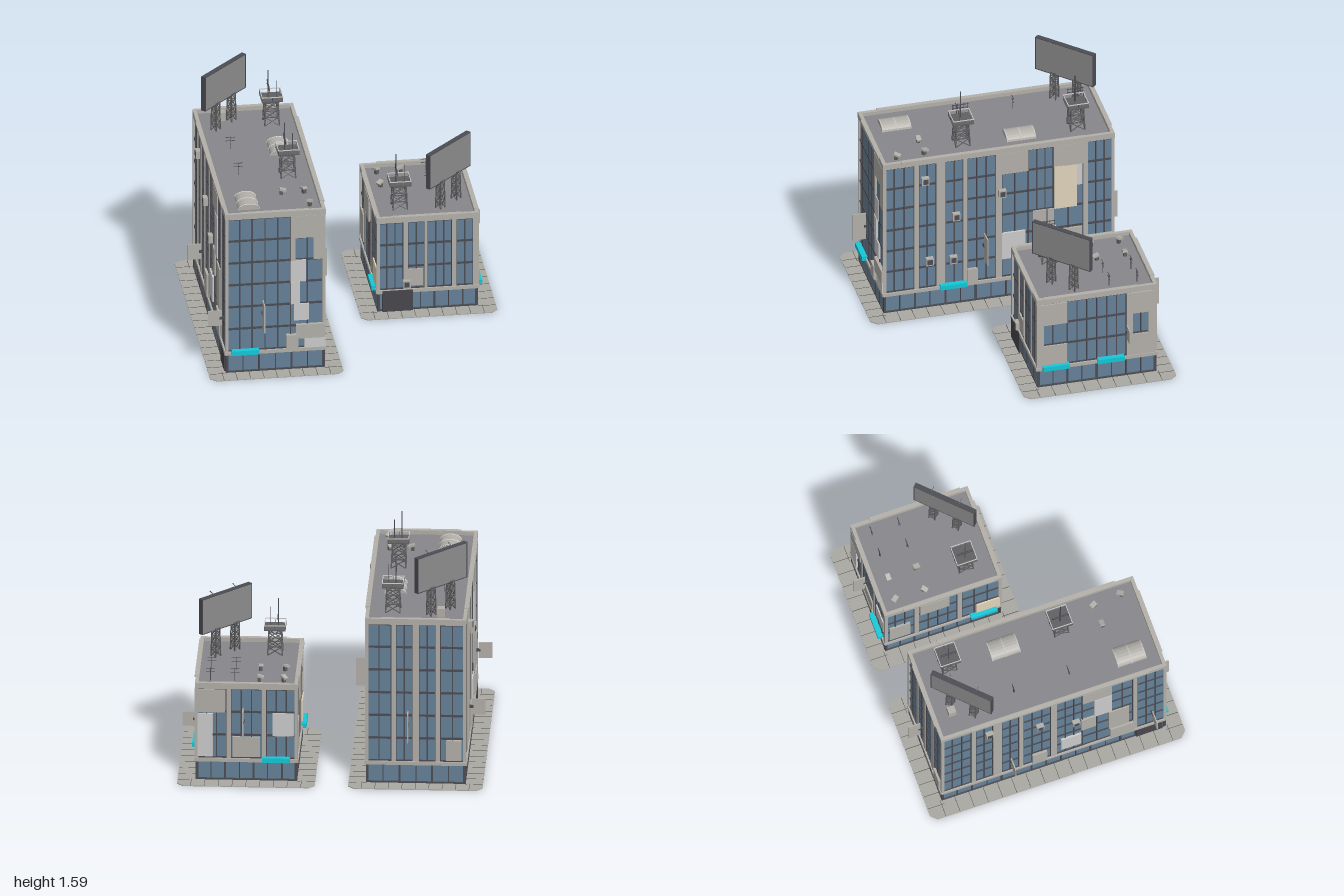
import * as THREE from 'three';

const mat = (color) => new THREE.MeshStandardMaterial({ color, flatShading: true, side: THREE.DoubleSide });
const M = {
  glass: mat(0x668299), frame: mat(0x4c4c54), stone: mat(0xb3b0aa), light: mat(0xcccccc), cream: mat(0xe0d4ba),
  roof: mat(0x86868b), pave: mat(0xa9a8a2), joint: mat(0x55554f), teal: mat(0x14c8d8), dark: mat(0x47474d),
  board: mat(0x8c8c8c), steel: mat(0x606062),
};
const UNIT = new THREE.BoxGeometry(1, 1, 1);

function group(parent, name, x = 0, y = 0, z = 0, ry = 0) {
  const g = new THREE.Group();
  g.name = name;
  g.position.set(x, y, z);
  g.rotation.y = ry;
  parent.add(g);
  return g;
}

// Box given by its centre and size
function box(parent, name, m, x, y, z, w, h, d) {
  const b = new THREE.Mesh(UNIT, M[m]);
  b.name = name;
  b.position.set(x, y, z);
  b.scale.set(w, h, d);
  parent.add(b);
  return b;
}

// Square bar between two points
function beam(parent, name, a, b, t, m = 'steel') {
  const p = new THREE.Vector3(...a), q = new THREE.Vector3(...b);
  const o = box(parent, name, m, 0, 0, 0, t, t, p.distanceTo(q));
  o.position.copy(p).add(q).multiplyScalar(0.5);
  o.quaternion.setFromUnitVectors(new THREE.Vector3(0, 0, 1), q.sub(p).normalize());
}

// Four-legged braced mast, half-widths r0 at the foot and r1 at the top
function lattice(parent, h, r0, r1, levels, t) {
  const at = (i, k) => {
    const f = i / levels, r = r0 + (r1 - r0) * f, c = [[1, 1], [-1, 1], [-1, -1], [1, -1]][k % 4];
    return [c[0] * r, h * f, c[1] * r];
  };
  for (let k = 0; k < 4; k++) {
    beam(parent, 'latticeLeg', at(0, k), at(levels, k), t * 1.3);
    for (let i = 0; i < levels; i++) {
      beam(parent, 'latticeBrace', at(i, k), at(i + 1, k + 1), t * 0.8);
      beam(parent, 'latticeBrace', at(i, k + 1), at(i + 1, k), t * 0.8);
      beam(parent, 'latticeRing', at(i + 1, k), at(i + 1, k + 1), t);
    }
  }
}

// Wall: u runs along the wall, +z is outwards. Bays: [u0, u1, glass columns (0 = pier)]
function facade(b, side, x, z, ry, width, H, bays, patches) {
  const g = group(b, side + 'Facade', x, 0, z, ry);
  const y0 = 0.16, h = H - y0, rows = Math.round(h / 0.16), cy = y0 + h / 2;
  for (const [u0, u1, cols] of bays) {
    const u = (u0 + u1) / 2, w = u1 - u0;
    if (!cols) { box(g, 'pier', 'stone', u, cy, 0, w, h, 0.02); continue; }
    box(g, 'glazing', 'glass', u, cy, -0.005, w, h, 0.008);
    for (let i = 0; i <= cols; i++) box(g, 'mullion', 'frame', u0 + w * i / cols, cy, 0, 0.008, h, 0.012);
    for (let r = 0; r <= rows; r++) box(g, 'transom', 'frame', u, y0 + h * r / rows, 0, w, 0.014, 0.01);
  }
  // Shop front and ledge
  box(g, 'shopGlazing', 'glass', 0, 0.07, -0.005, width, 0.13, 0.008);
  box(g, 'shopPlinth', 'frame', 0, 0.008, 0, width, 0.016, 0.014);
  const n = Math.round(width / 0.1);
  for (let i = 0; i <= n; i++) box(g, 'shopPost', 'frame', -width / 2 + width * i / n, 0.07, 0, i % 2 ? 0.006 : 0.012, 0.14, 0.014);
  box(g, 'ledge', 'stone', 0, 0.146, 0.003, width + 0.02, 0.024, 0.026);
  for (const [u, y, w, ph, m, d = 0.014] of patches) box(g, 'infillPanel', m, u, y, d / 2, w, ph, d);
  return g;
}

const awning = (f, u) => {
  box(f, 'awning', 'teal', u, 0.157, 0.022, 0.18, 0.032, 0.036);
};
const blade = (f, u, y, h, w = 0.09) => {
  box(f, 'bladeSign', 'stone', u, y, 0.022 + w / 2, 0.008, h, w);
  box(f, 'signBracket', 'frame', u, y, 0.015, 0.012, 0.02, 0.04);
};
const aircon = (f, u, y) => {
  box(f, 'airConditioner', 'stone', u, y, 0.022, 0.05, 0.055, 0.03);
  box(f, 'airConditionerGrille', 'frame', u, y, 0.038, 0.034, 0.036, 0.004);
};

function pavement(b, W, D) {
  const outline = (w, d, c) => [[-w + c, -d], [w - c, -d], [w, -d + c], [w, d - c], [w - c, d], [-w + c, d], [-w, d - c], [-w, -d + c]]
    .map((p) => new THREE.Vector2(...p));
  const s = new THREE.Shape(outline(W / 2, D / 2, 0.04));
  s.holes.push(new THREE.Path(outline(W / 2 - 0.13, D / 2 - 0.13, 0.02)));
  const m = new THREE.Mesh(new THREE.ExtrudeGeometry(s, { depth: 0.005, bevelEnabled: false }), M.pave);
  m.name = 'pavement';
  m.rotation.x = -Math.PI / 2;
  b.add(m);
  // Paving joints
  for (const k of [-1, 1]) {
    for (let i = -4; i <= 4; i++) box(b, 'pavingJoint', 'joint', i * W / 10, 0.0055, k * (D / 2 - 0.06), 0.003, 0.002, 0.115);
    const n = Math.round(D / 0.2);
    for (let i = 1 - n; i < n; i++) box(b, 'pavingJoint', 'joint', k * (W / 2 - 0.06), 0.0055, i * D / 2 / n, 0.115, 0.002, 0.003);
  }
}

function roofDeck(b, W, D, H) {
  box(b, 'roofDeck', 'roof', 0, H + 0.01, 0, W - 0.02, 0.01, D - 0.02);
  for (const k of [-1, 1]) {
    box(b, 'parapet', 'stone', 0, H + 0.02, k * (D / 2), W + 0.02, 0.04, 0.024);
    box(b, 'parapet', 'stone', k * (W / 2), H + 0.02, 0, 0.024, 0.04, D + 0.02);
    box(b, 'coping', 'stone', 0, H + 0.036, k * (D / 2 + 0.004), W * 0.7, 0.016, 0.03);
    box(b, 'coping', 'stone', k * (W / 2 + 0.004), H + 0.036, 0.04, 0.03, 0.016, D * 0.8);
    for (const j of [-1, 1]) box(b, 'cornerPier', 'stone', k * W / 2, 0.16 + (H - 0.16) / 2, j * D / 2, 0.022, H - 0.16, 0.022);
    for (const j of [-1, 1]) box(b, 'shopCornerPost', 'frame', k * (W / 2 - 0.004), 0.07, j * (D / 2 - 0.004), 0.014, 0.14, 0.014);
  }
}

function billboard(b, x, y, z) {
  const g = group(b, 'billboard', x, y, z, Math.PI / 4);
  box(g, 'billboardPanel', 'board', 0, 0.312, 0, 0.43, 0.24, 0.03);
  for (const s of [-1, 1]) {
    lattice(group(g, 'billboardSupport', s * 0.085, 0, 0), 0.2, 0.022, 0.018, 4, 0.005);
    box(g, 'billboardEdge', 'frame', s * 0.217, 0.312, 0, 0.006, 0.24, 0.034);
    box(g, 'billboardEdge', 'frame', 0, 0.312 + s * 0.121, 0, 0.44, 0.005, 0.034);
    beam(g, 'lampArm', [s * 0.1, 0.43, 0], [s * 0.1, 0.45, 0.04], 0.004);
  }
}

function watchTower(b, x, y, z) {
  const g = group(b, 'antennaTower', x, y, z);
  lattice(g, 0.18, 0.048, 0.04, 3, 0.006);
  box(g, 'platform', 'steel', 0, 0.183, 0, 0.14, 0.008, 0.14);
  for (let k = 0; k < 4; k++) {
    const s = group(g, 'railing', 0, 0.187, 0, k * Math.PI / 2);
    box(s, 'handrail', 'light', 0, 0.028, 0.068, 0.14, 0.005, 0.005);
    for (const p of [-0.068, 0]) box(s, 'railPost', 'steel', p, 0.014, 0.068, 0.004, 0.028, 0.004);
  }
  box(g, 'mast', 'frame', -0.02, 0.285, 0, 0.006, 0.2, 0.006);
  box(g, 'mast', 'frame', 0.03, 0.25, 0.02, 0.004, 0.13, 0.004);
  for (const h of [0.26, 0.285]) box(g, 'antennaBar', 'frame', -0.02, h, 0, 0.004, 0.004, 0.11);
  for (const p of [-0.05, -0.02, 0.02, 0.05]) box(g, 'antennaRod', 'frame', -0.02, 0.272, p, 0.003, 0.04, 0.003);
}

// Barrel-vaulted rooflight
function skylight(b, x, y, z) {
  const g = group(b, 'skylight', x, y, z);
  const v = new THREE.Mesh(new THREE.CylinderGeometry(0.07, 0.07, 0.19, 10, 1, false, -Math.PI / 2, Math.PI), M.stone);
  v.name = 'skylightVault';
  v.rotation.x = -Math.PI / 2;
  v.scale.z = 0.6;
  g.add(v);
  for (const p of [-0.095, 0, 0.095]) {
    const rib = new THREE.Mesh(new THREE.TorusGeometry(0.07, 0.004, 4, 10, Math.PI), M.light);
    rib.name = 'skylightRib';
    rib.position.z = p;
    rib.scale.y = 0.6;
    g.add(rib);
  }
}

function vent(b, x, y, z, ry) {
  const g = group(b, 'roofVent', x, y, z, ry);
  box(g, 'ventPipe', 'steel', 0, 0.015, 0, 0.022, 0.03, 0.022);
  box(g, 'ventHood', 'stone', 0.008, 0.034, 0, 0.045, 0.014, 0.032).rotation.z = -0.3;
}
function aerial(b, x, y, z) {
  const g = group(b, 'aerial', x, y, z);
  box(g, 'aerialPole', 'frame', 0, 0.045, 0, 0.004, 0.09, 0.004);
  for (const h of [0.06, 0.085]) box(g, 'aerialBar', 'frame', 0, h, 0, 0.06, 0.003, 0.003);
}

function tallBuilding(root) {
  const b = group(root, 'tallBuilding', -0.558, 0, 0), W = 0.64, D = 1.54, H = 1.12;
  pavement(b, 0.88, 1.77);
  roofDeck(b, W, D, H);
  const f = facade(b, 'front', 0, D / 2, 0, W, H, [[-0.32, 0.1, 5], [0.1, 0.32, 2]], [
    [0.21, 1.04, 0.22, 0.16, 'stone'], [0.115, 0.88, 0.03, 0.17, 'stone'], [0.285, 0.88, 0.07, 0.16, 'stone'],
    [0.15, 0.72, 0.1, 0.16, 'light', 0.01], [0.13, 0.56, 0.06, 0.16, 'light'], [0.17, 0.42, 0.1, 0.12, 'light'],
    [0.23, 0.28, 0.19, 0.1, 'stone', 0.022], [0.11, 0.21, 0.08, 0.1, 'stone', 0.03], [0.26, 0.2, 0.14, 0.08, 'light', 0.02]]);
  awning(f, -0.2); blade(f, -0.085, 0.43, 0.2);
  const half = [[-0.77, -0.57, 3], [-0.57, -0.54, 0], [-0.54, -0.42, 2], [-0.42, -0.36, 0], [-0.36, -0.24, 2], [-0.24, -0.21, 0], [-0.21, -0.02, 3], [-0.02, 0.02, 0]];
  const r = facade(b, 'right', W / 2, 0, Math.PI / 2, D, H, [...half, [0.02, 0.2, 2], [0.2, 0.37, 3], [0.37, 0.57, 2], [0.57, 0.6, 0], [0.6, 0.77, 3]], [
    [0.47, 1.04, 0.2, 0.16, 'stone'], [0.45, 0.8, 0.15, 0.33, 'cream'], [0.545, 0.88, 0.04, 0.16, 'light'], [0.11, 1.04, 0.18, 0.16, 'stone'],
    [0.1, 0.4, 0.16, 0.2, 'light'], [0.3, 0.56, 0.14, 0.16, 'stone'], [0.48, 0.32, 0.16, 0.3, 'stone'], [-0.18, 0.2, 0.07, 0.12, 'stone', 0.02]]);
  awning(r, -0.31); blade(r, -0.1, 0.43, 0.2);
  [[-0.5, 1], [-0.29, 0.69], [-0.47, 0.37], [-0.31, 0.36], [0.02, 0.82]].forEach((p) => aircon(r, ...p));
  const k = facade(b, 'back', 0, -D / 2, Math.PI, W, H, [[-0.32, -0.16, 2], [-0.16, -0.13, 0], [-0.13, -0.02, 2], [-0.02, 0.02, 0], [0.02, 0.13, 2], [0.13, 0.16, 0], [0.16, 0.32, 2]],
    [[0.25, 0.24, 0.1, 0.14, 'stone', 0.02]]);
  blade(k, -0.05, 0.42, 0.2, 0.08);
  const l = facade(b, 'left', -W / 2, 0, -Math.PI / 2, D, H, [...half, [0.02, 0.2, 3], [0.2, 0.4, 2], [0.4, 0.55, 2], [0.55, 0.58, 0], [0.58, 0.77, 3]], [
    [0.3, 1.04, 0.2, 0.16, 'stone'], [0.34, 0.8, 0.12, 0.3, 'light'], [0.24, 0.56, 0.1, 0.18, 'stone'], [0.45, 0.48, 0.14, 0.3, 'stone'],
    [0.12, 0.32, 0.14, 0.18, 'light'], [0.47, 0.24, 0.16, 0.14, 'stone', 0.02], [-0.1, 0.23, 0.1, 0.16, 'stone', 0.02], [0.66, 0.07, 0.18, 0.14, 'dark']]);
  blade(l, -0.3, 0.36, 0.11); blade(l, 0.68, 0.36, 0.11);
  [[-0.45, 1], [-0.1, 0.83], [0.15, 0.68]].forEach((p) => aircon(l, ...p));
  const y = H + 0.015;
  billboard(b, -0.155, y, -0.575);
  watchTower(b, 0.158, y, -0.565);
  watchTower(b, 0.158, y, 0.21);
  skylight(b, 0.158, y, 0);
  b.children.at(-1).position.z = 0.18 - 0.36;
  skylight(b, -0.16, y, 0.58);
  [[0.08, 0.48, 0], [0.24, 0.67, 1], [0.23, 0.48, 2]].forEach(([x, z, a]) => vent(b, x, y, z, a));
  aerial(b, -0.16, y, -0.22); aerial(b, -0.16, y, 0.16);
  box(b, 'roofHatch', 'stone', -0.16, y + 0.03, -0.65, 0.05, 0.06, 0.05);
}

function lowBuilding(root) {
  const b = group(root, 'lowBuilding', 0.55, 0, -0.375), W = 0.65, D = 0.79, H = 0.645;
  pavement(b, 0.9, 1.03);
  roofDeck(b, W, D, H);
  const f = facade(b, 'front', 0, D / 2, 0, W, H, [[-0.325, -0.16, 3], [-0.16, -0.13, 0], [-0.13, -0.02, 2], [-0.02, 0, 0], [0, 0.16, 3], [0.16, 0.19, 0], [0.19, 0.3, 2], [0.3, 0.325, 0]],
    [[-0.2, 0.08, 0.2, 0.15, 'dark', 0.02], [-0.08, 0.24, 0.1, 0.12, 'stone', 0.012]]);
  aircon(f, -0.14, 0.2);
  const r = facade(b, 'right', W / 2, 0, Math.PI / 2, D, H, [[-0.395, -0.2, 2], [-0.2, 0.2, 6], [0.2, 0.395, 2]], [
    [-0.3, 0.56, 0.2, 0.16, 'stone'], [-0.3, 0.24, 0.2, 0.16, 'stone'], [-0.38, 0.4, 0.04, 0.16, 'stone'], [0.3, 0.56, 0.2, 0.16, 'stone'],
    [0.3, 0.24, 0.2, 0.16, 'stone'], [0.22, 0.4, 0.04, 0.16, 'stone'], [0.37, 0.4, 0.05, 0.16, 'stone']]);
  awning(r, -0.28); awning(r, 0.09); blade(r, 0.2, 0.35, 0.1, 0.08);
  const k = facade(b, 'back', 0, -D / 2, Math.PI, W, H, [[-0.325, -0.13, 3], [-0.13, -0.1, 0], [-0.1, 0.1, 3], [0.1, 0.13, 0], [0.13, 0.325, 3]], [
    [-0.23, 0.56, 0.18, 0.16, 'stone'], [-0.27, 0.32, 0.1, 0.3, 'light'], [0, 0.24, 0.18, 0.14, 'stone'], [0.24, 0.4, 0.14, 0.16, 'light']]);
  awning(k, 0.195); blade(k, -0.02, 0.42, 0.2, 0.08);
  const l = facade(b, 'left', -W / 2, 0, -Math.PI / 2, D, H, [[-0.395, -0.2, 3], [-0.2, -0.17, 0], [-0.17, 0.1, 4], [0.1, 0.13, 0], [0.13, 0.395, 3]],
    [[0.31, 0.24, 0.16, 0.15, 'cream'], [-0.06, 0.56, 0.2, 0.16, 'stone'], [-0.3, 0.3, 0.14, 0.2, 'stone']]);
  awning(l, 0.275);
  const y = H + 0.015;
  billboard(b, 0.165, y, 0.19);
  watchTower(b, -0.16, y, 0.205);
  for (const z of [-0.295, -0.105]) {
    for (const x of [-0.24, -0.08]) vent(b, x, y, z, x * 6 + z * 9);
    for (const x of [0.08, 0.24]) aerial(b, x, y, z);
  }
}

export function createModel() {
  const root = new THREE.Group();
  root.name = 'cityBlocks';
  tallBuilding(root);
  lowBuilding(root);
  return root;
}
